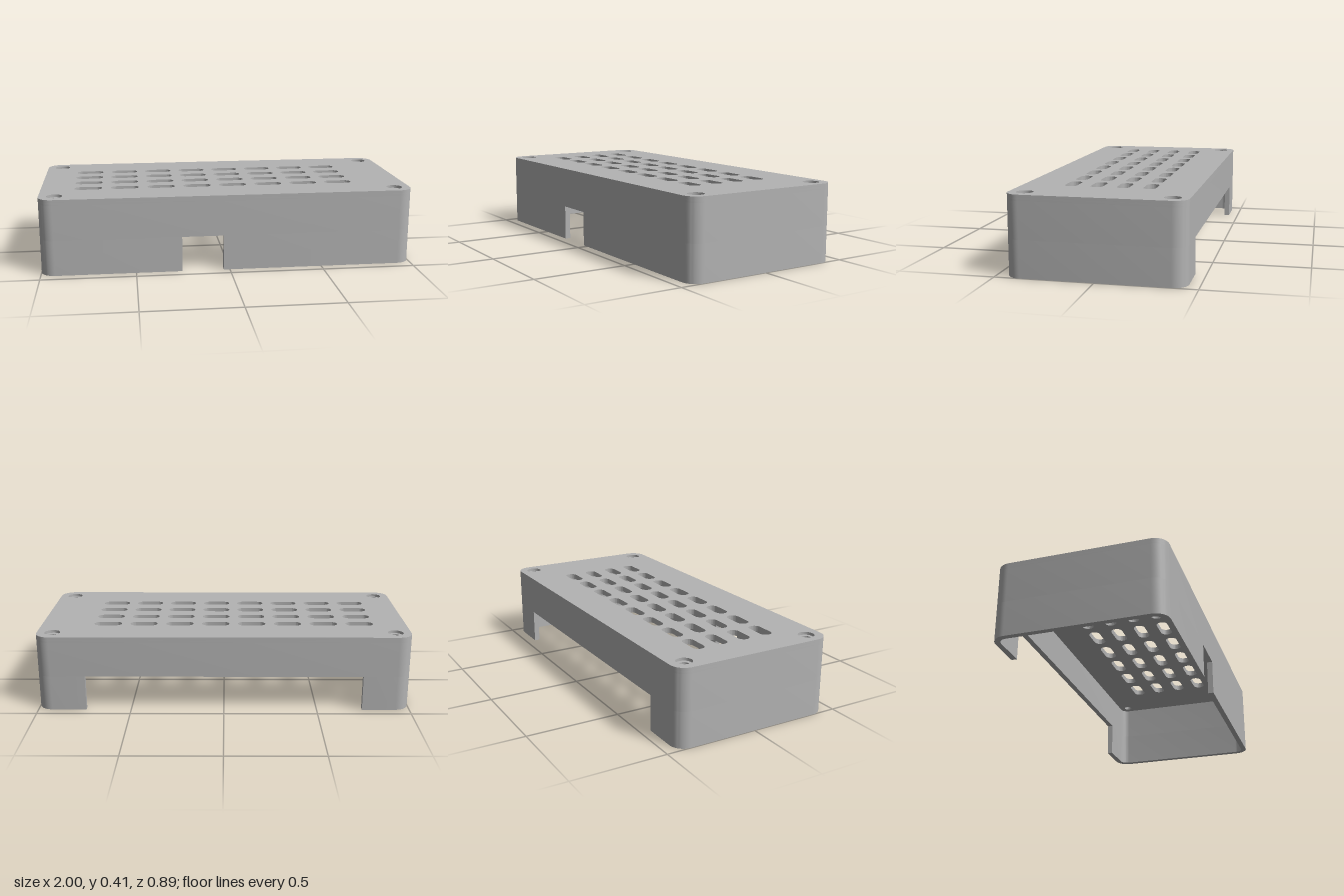
import * as THREE from 'three';
import { toCreasedNormals } from 'three/addons/utils/BufferGeometryUtils.js';

const W = 1, D = 0.445, H = 0.41;      // half width, half depth, height
const R = 0.075, T = 0.03;             // corner radius, wall thickness
const NOTCH = 0.19, BORE = 0.015;      // notch height, counterbore depth

// Points of the +x half of a rounded rectangle, front to back (shape y = -z)
function halfOutline(inset) {
  const r = R - inset, cx = W - R, cy = D - R, pts = [];
  for (const [sy, start] of [[-1, -Math.PI / 2], [1, 0]]) {
    for (let i = 0; i <= 12; i++) {
      const a = start + (i / 12) * Math.PI / 2;
      pts.push(new THREE.Vector2(cx + r * Math.cos(a), sy * cy + r * Math.sin(a)));
    }
  }
  return pts;
}

const mirrorX = (pts) => pts.map((p) => new THREE.Vector2(-p.x, p.y));
const fullOutline = (inset) => {
  const half = halfOutline(inset);
  return [...half, ...mirrorX(half).reverse()];
};

// Extrude a plan shape upward between two heights
function slab(shape, y0, y1) {
  const g = new THREE.ExtrudeGeometry(shape, { depth: y1 - y0, bevelEnabled: false, curveSegments: 12 });
  g.rotateX(-Math.PI / 2);
  g.translate(0, y0, 0);
  return toCreasedNormals(g, 0.6);
}

function slotHole(x, y, halfLength, r) {
  const p = new THREE.Path();
  const s = halfLength - r;
  p.absarc(x + s, y, r, -Math.PI / 2, Math.PI / 2, false);
  p.absarc(x - s, y, r, Math.PI / 2, Math.PI * 1.5, false);
  p.closePath();
  return p;
}

// Lid plan with vent slots and four screw holes of the given radius
function lidShape(holeRadius) {
  const shape = new THREE.Shape(fullOutline(0));
  for (let row = 0; row < 4; row++) {
    for (let col = 0; col < 8; col++) {
      shape.holes.push(slotHole(-0.745 + col * 0.1975, 0.204 - row * 0.135, 0.075, 0.032));
    }
  }
  for (const sx of [-1, 1]) for (const sy of [-1, 1]) {
    const hole = new THREE.Path();
    hole.absarc(sx * 0.916, sy * 0.362, holeRadius, 0, Math.PI * 2, false);
    shape.holes.push(hole);
  }
  return shape;
}

// Lower C-shaped wall on one side, ending at the front and back notches
function lowerWallShape(side, frontX, backX) {
  const place = (pts) => (side > 0 ? pts : mirrorX(pts));
  return new THREE.Shape([
    new THREE.Vector2(frontX, -D),
    ...place(halfOutline(0)),
    new THREE.Vector2(backX, D),
    new THREE.Vector2(backX, D - T),
    ...place(halfOutline(T)).reverse(),
    new THREE.Vector2(frontX, -D + T),
  ]);
}

export function createModel() {
  const group = new THREE.Group();
  group.name = 'ventedEnclosureCover';
  const grey = new THREE.MeshStandardMaterial({ color: 0xb3b3b3 });
  grey.name = 'grey plastic';

  const add = (name, geometry) => {
    const mesh = new THREE.Mesh(geometry, grey);
    mesh.name = name;
    group.add(mesh);
  };

  // Lid in two layers, so the screw holes are counterbored
  add('lidTop', slab(lidShape(0.042), H - BORE, H));
  add('lidUnderside', slab(lidShape(0.023), H - T, H - BORE));

  // Continuous wall above the notches
  const ring = new THREE.Shape(fullOutline(0));
  ring.holes.push(new THREE.Path(fullOutline(T)));
  add('upperWall', slab(ring, NOTCH, H - T));

  // Lower walls, leaving the small front notch and the wide back notch
  add('leftLowerWall', slab(lowerWallShape(1, -0.033, 0.742), 0, NOTCH));
  add('rightLowerWall', slab(lowerWallShape(-1, -0.255, -0.745), 0, NOTCH));

  return group;
}
